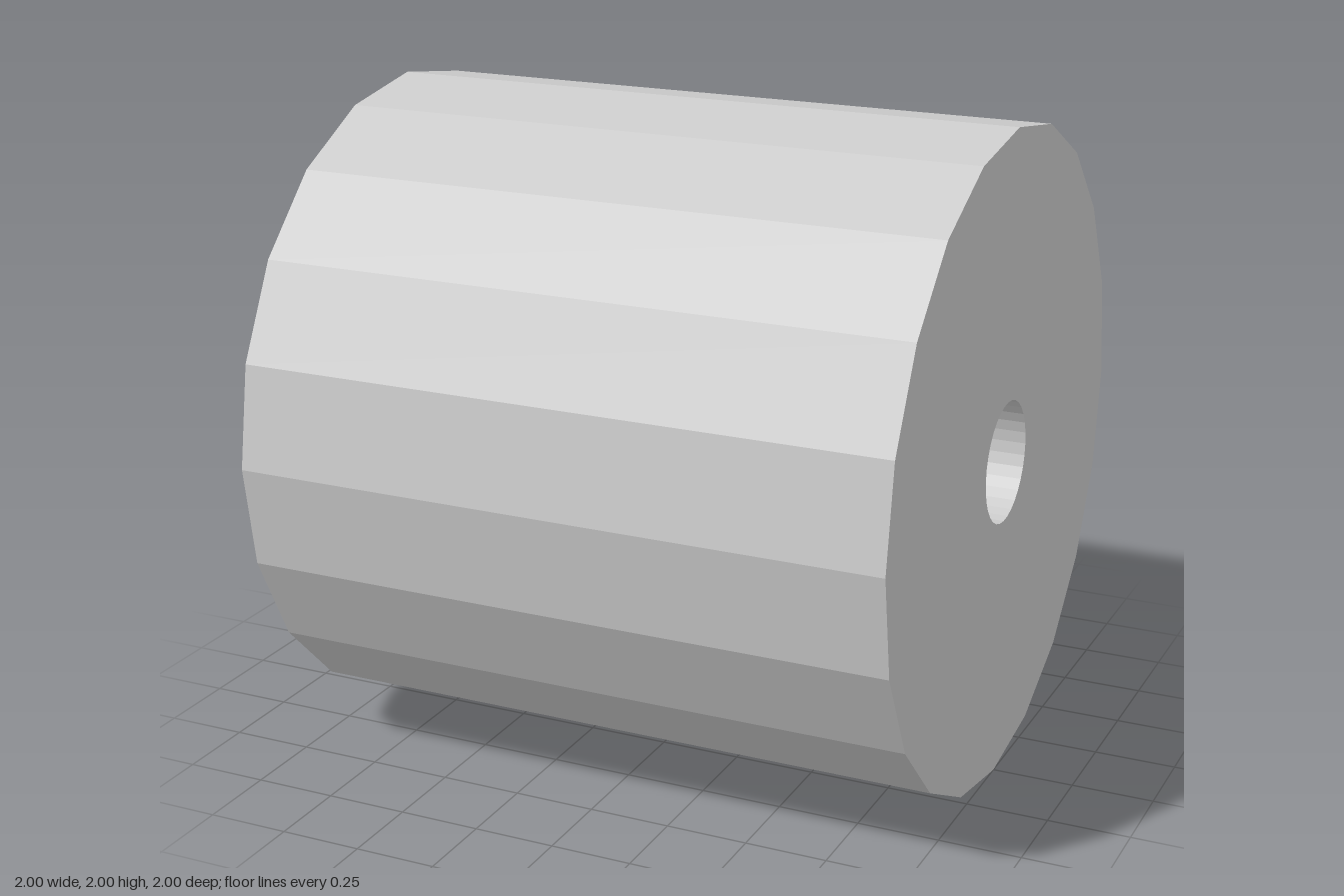
import * as THREE from 'three';

const SIDES = 20, HOLE_SIDES = 32;
const R = 1, BORE_R = 0.64, HOLE_R = 0.185;
const BORE_FLOOR = 0.2, HOLE_FLOOR = 0.6;

// Faceted surface of revolution around the x axis; points are [radius, x]
function turned(points, sides) {
  const profile = points.map(([r, x]) => new THREE.Vector2(r, x));
  return new THREE.LatheGeometry(profile, sides).rotateZ(-Math.PI / 2);
}

function polygon(radius, sides) {
  return Array.from({ length: sides }, (_, i) => {
    const a = (i / sides) * Math.PI * 2;
    return new THREE.Vector2(radius * Math.cos(a), radius * Math.sin(a));
  });
}

export function createModel() {
  const group = new THREE.Group();
  group.name = 'boredCylinder';
  const material = new THREE.MeshStandardMaterial({ color: 0xcccccc, flatShading: true });

  const add = (name, geometry) => {
    const mesh = new THREE.Mesh(geometry, material);
    mesh.name = name;
    mesh.position.y = R;
    group.add(mesh);
  };

  // Wide blind bore, ring-shaped rim and outer wall
  add('body', turned([
    [0, BORE_FLOOR], [BORE_R, BORE_FLOOR], [BORE_R, -1], [R, -1], [R, 1],
  ], SIDES));

  // Closed end with a small round opening
  const face = new THREE.Shape(polygon(R, SIDES));
  face.holes.push(new THREE.Path(polygon(HOLE_R, HOLE_SIDES)));
  add('endFace', new THREE.ShapeGeometry(face).rotateY(Math.PI / 2).translate(1, 0, 0));

  // Narrow blind hole in the closed end
  add('shaftHole', turned([[HOLE_R, 1], [HOLE_R, HOLE_FLOOR], [0, HOLE_FLOOR]], HOLE_SIDES));

  return group;
}
